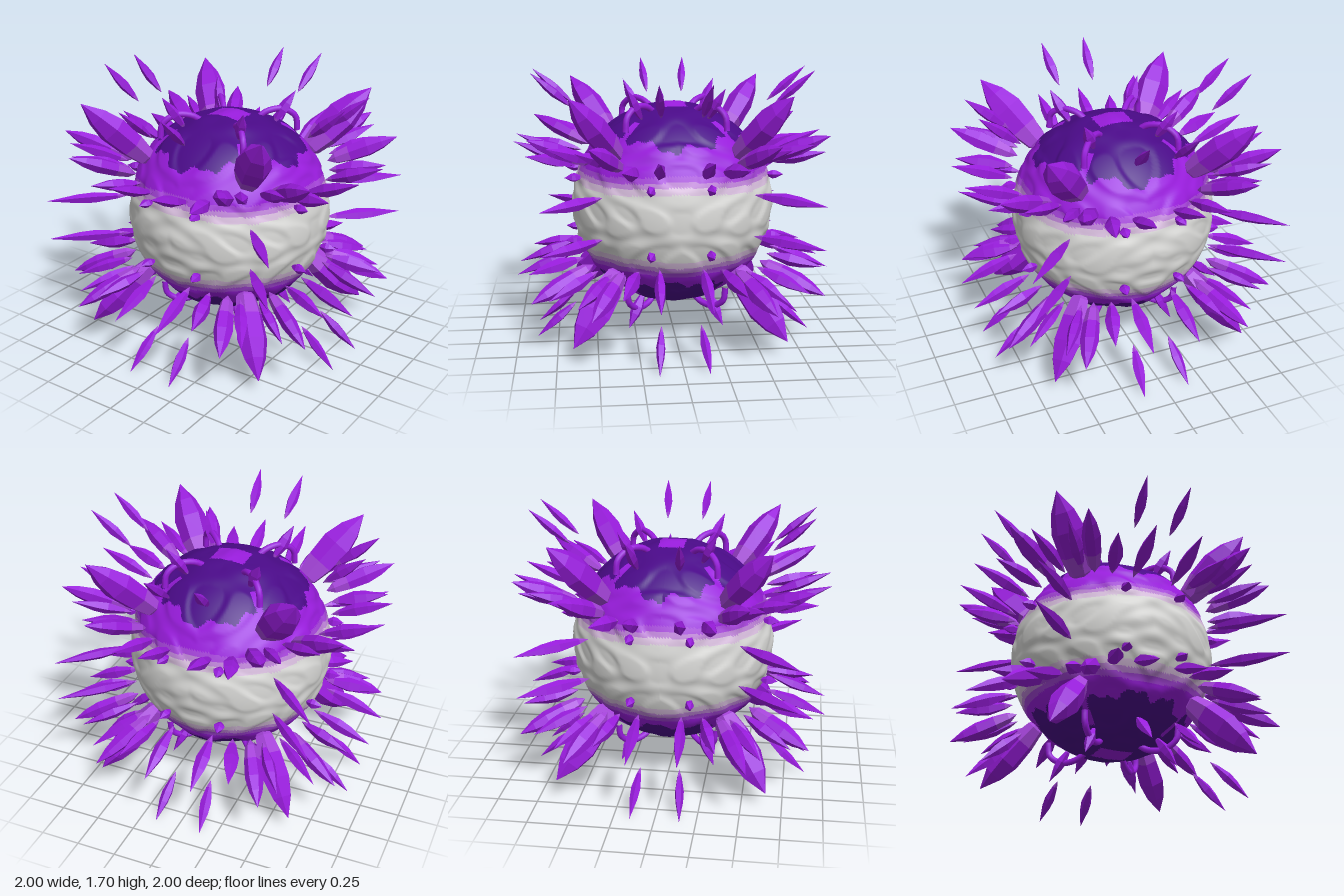
import * as THREE from 'three';

const mat = (name, color) => Object.assign(new THREE.MeshStandardMaterial({ color }), { name });
const CENTRE = 0.85;

export function createModel() {
  const model = new THREE.Group();
  const white = mat('shellWhite', 0xd8d8d6);
  const pale = mat('paleLilac', 0xd6bcdc);
  const lilac = mat('lilac', 0xbc82d6);
  const violet = mat('violet', 0xa544da);
  const purple = mat('purple', 0x981cdc);
  const dark = mat('darkPurple', 0x4a0a88);
  const bands = [white, pale, lilac, violet, purple, dark];

  // Colour band for a point on the shell
  function bandAt(x, y, z) {
    const h = Math.abs(y), r = Math.hypot(x, z), a = Math.atan2(z, x);
    const fade = 0.16 + (y < 0 ? 0.08 : 0) + 0.012 * Math.cos(a * 4);
    if (h < fade) return 0;
    if (h < fade + 0.04) return 1;
    if (h < fade + 0.07) return 2;
    if (h < fade + 0.105) return 3;
    // Four dark petals around each pole, split along the diagonals
    const gap = Math.min(Math.abs(x - z), Math.abs(x + z));
    const edge = 0.475 + 0.02 * Math.cos(a * 4) + 0.018 * Math.sin(a * 12) + 0.01 * Math.cos(a * 28);
    const square = Math.abs(x) < 0.11 && Math.abs(z) < 0.08;
    return r < edge && !square && !(gap < 0.03 && r > 0.33) ? 5 : 4;
  }

  // Shell: a sphere with shallow relief plates
  const sphere = new THREE.SphereGeometry(0.647, 208, 144);
  const p = sphere.attributes.position;
  const v = new THREE.Vector3();
  for (let i = 0; i < p.count; i++) {
    v.fromBufferAttribute(p, i);
    const n = Math.sin(Math.abs(v.x) * 17 + 2 * Math.sin(v.y * 9)) *
      Math.sin(Math.abs(v.z) * 17 + 2 * Math.cos(v.y * 11)) * Math.cos(v.y * 13);
    v.multiplyScalar(1 + 0.01 * THREE.MathUtils.clamp(n * 4, -1, 1) - 0.005);
    p.setXYZ(i, v.x, v.y, v.z);
  }
  sphere.computeVertexNormals();
  const lists = bands.map(() => []);
  const idx = sphere.index.array;
  for (let i = 0; i < idx.length; i += 3) {
    const t = [idx[i], idx[i + 1], idx[i + 2]];
    const mean = (f) => t.reduce((s, k) => s + p[f](k), 0) / 3;
    lists[bandAt(mean('getX'), mean('getY'), mean('getZ'))].push(...t);
  }
  sphere.setIndex(lists.flat());
  let start = 0;
  lists.forEach((l, i) => { sphere.addGroup(start, l.length, i); start += l.length; });
  const shell = new THREE.Mesh(sphere, bands);
  shell.name = 'shell';
  shell.position.y = CENTRE;
  model.add(shell);

  // Faceted crystal section of unit length along y
  function facets(points, sides) {
    const g = new THREE.LatheGeometry(points.map(([r, y]) => new THREE.Vector2(r, y)), sides).toNonIndexed();
    g.computeVertexNormals();
    return g;
  }
  // Slim and thick crystals, each with a lighter root and a purple point
  const slim = [
    [facets([[0, 0], [0.5, 0.14]], 5), violet],
    [facets([[0.5, 0.14], [1, 0.42], [0.85, 0.62], [0, 1]], 5), purple],
  ];
  const thick = [
    [facets([[0, 0], [0.65, 0.12], [0.9, 0.32]], 6), violet],
    [facets([[0.9, 0.32], [1, 0.58], [0.7, 0.78], [0, 1]], 6), purple],
  ];
  const up = new THREE.Vector3(0, 1, 0);

  function crystal(name, base, tip, width, sections) {
    const a = new THREE.Vector3(...base), b = new THREE.Vector3(...tip);
    const dir = b.clone().sub(a), len = dir.length();
    const g = new THREE.Group();
    g.name = name;
    sections.forEach(([geo, material], i) => {
      const m = new THREE.Mesh(geo, material);
      m.name = name + (i ? 'Point' : 'Root');
      g.add(m);
    });
    g.position.copy(a);
    g.position.y += CENTRE;
    g.quaternion.setFromUnitVectors(up, dir.normalize());
    g.scale.set(width, len, width * 0.8);
    model.add(g);
  }

  // name, base, tip, half width, sections; x and z are swapped for a second copy
  const kinds = [
    ['cornerCrystal', [0.34, 0.33, 0.34], [0.65, 0.75, 0.65], 0.11, thick],
    ['upperShard', [0.63, 0.63, 0.12], [0.885, 0.85, 0.15], 0.036, slim],
    ['outerShard', [0.46, 0.13, 0.46], [0.82, 0.13, 0.83], 0.042, slim],
    ['sideSpike', [0.62, 0.28, 0.13], [1.0, 0.43, 0.15], 0.045, slim],
    ['stubSpike', [0.575, 0.2, 0.17], [0.69, 0.2, 0.19], 0.035, slim],
    ['slantSpike', [0.58, 0.3, 0.25], [0.92, 0.37, 0.36], 0.05, slim],
    ['wideCrystal', [0.52, 0.32, 0.34], [0.9, 0.5, 0.54], 0.06, thick],
    ['longSpike', [0.49, 0.34, 0.41], [0.79, 0.46, 0.62], 0.045, slim],
    ['poleSpike', [0.2, 0.55, 0.2], [0.3, 0.76, 0.3], 0.04, slim],
  ];
  const signs = [];
  for (const sx of [1, -1]) for (const sy of [1, -1]) for (const sz of [1, -1]) signs.push([sx, sy, sz]);
  for (const [name, b, t, w, sections] of kinds)
    for (const [sx, sy, sz] of signs) {
      const place = ([x, y, z]) => [x * sx, y * sy, z * sz];
      const swap = ([x, y, z]) => [z * sx, y * sy, x * sz];
      crystal(name, place(b), place(t), w, sections);
      if (b[0] !== b[2]) crystal(name, swap(b), swap(t), w, sections);
    }

  // Curled horns on the diagonals near both poles
  for (const [sx, sy, sz] of signs) {
    const path = [[0.13, 0.6], [0.17, 0.635], [0.24, 0.645], [0.3, 0.59], [0.31, 0.5]]
      .map(([d, y]) => new THREE.Vector3(d * sx, y * sy + CENTRE, d * sz));
    const horn = new THREE.Mesh(new THREE.TubeGeometry(new THREE.CatmullRomCurve3(path), 14, 0.02, 7), purple);
    horn.name = 'curledHorn';
    model.add(horn);
  }
  return model;
}
